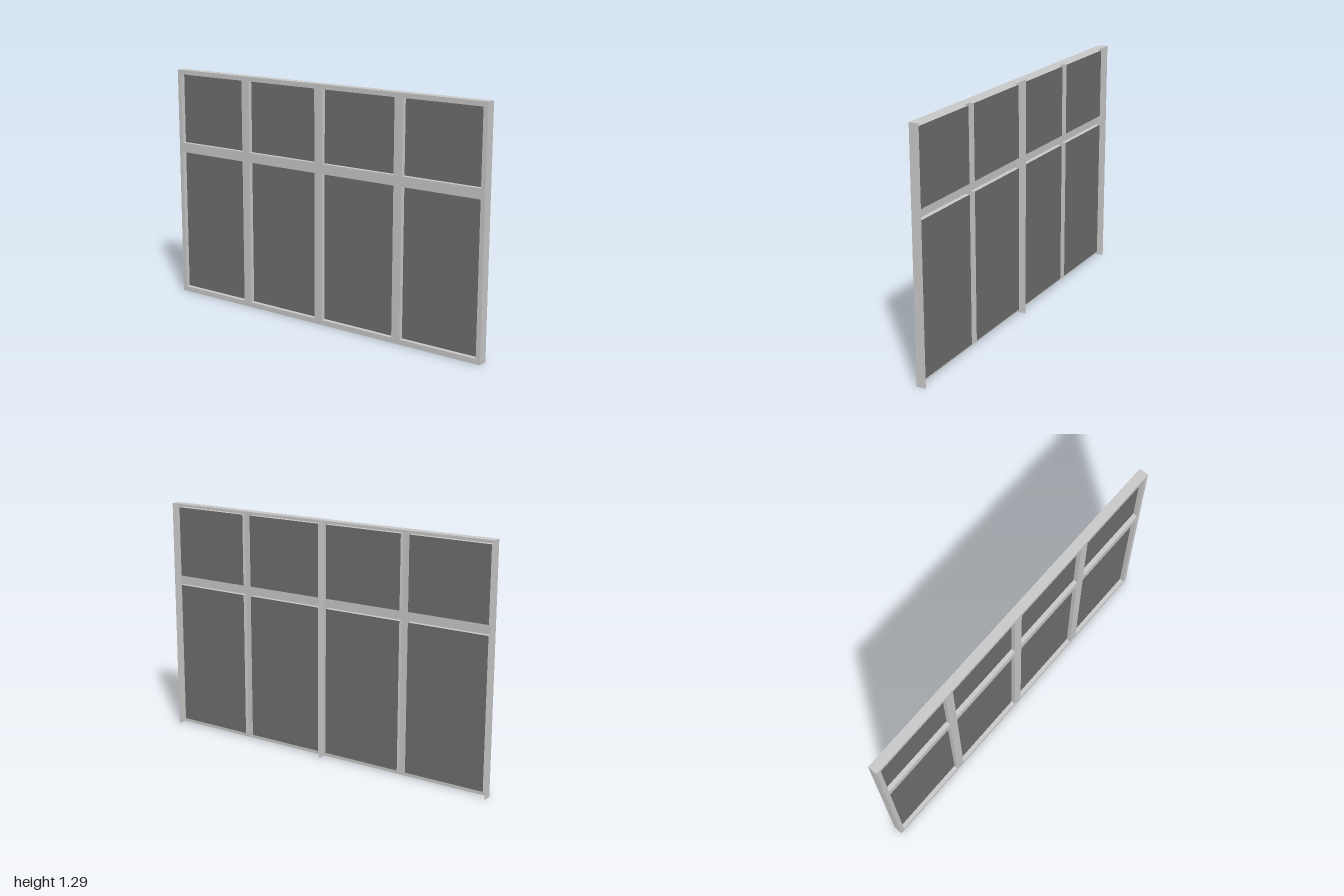
import * as THREE from 'three';

const HEIGHT = 1.293, FRONT = 0.026, DEPTH = 0.052, RECESS = 0.024;
const COLUMNS = [-0.75, -0.25, 0.25, 0.75];
const PANE_WIDTH = 0.45;
const ROWS = [[0.028, 0.825], [0.879, 1.268]];

const frameMaterial = new THREE.MeshStandardMaterial({ color: 0xcccccc, side: THREE.DoubleSide });
const paneMaterial = new THREE.MeshStandardMaterial({ color: 0x707070, side: THREE.DoubleSide });

function addMesh(parent, name, geometry, material, x = 0, y = 0, z = 0) {
  const mesh = new THREE.Mesh(geometry, material);
  mesh.name = name;
  mesh.position.set(x, y, z);
  parent.add(mesh);
  return mesh;
}

// Sheet standing across x, from front to back
const sideSheet = (depth, height, outward) =>
  new THREE.PlaneGeometry(depth, height).rotateY(outward * Math.PI / 2);
// Sheet lying flat
const flatSheet = (width, depth, upward) =>
  new THREE.PlaneGeometry(width, depth).rotateX(-upward * Math.PI / 2);

// Recessed pane with the four reveals around it
function createPane(width, height) {
  const pane = new THREE.Group();
  pane.name = 'windowPane';
  addMesh(pane, 'glass', new THREE.PlaneGeometry(width, height), paneMaterial, 0, 0, -RECESS);
  for (const s of [-1, 1]) {
    addMesh(pane, 'sideReveal', sideSheet(RECESS, height, -s), frameMaterial, s * width / 2, 0, -RECESS / 2);
    addMesh(pane, s < 0 ? 'sill' : 'head', flatSheet(width, RECESS, -s), frameMaterial, 0, s * height / 2, -RECESS / 2);
  }
  return pane;
}

export function createModel() {
  const model = new THREE.Group();
  model.name = 'windowPanel';

  // Front face of the frame, with an opening for every pane
  const face = new THREE.Shape([[-1, 0], [1, 0], [1, HEIGHT], [-1, HEIGHT]].map(p => new THREE.Vector2(...p)));
  for (const x of COLUMNS) {
    for (const [y0, y1] of ROWS) {
      const x0 = x - PANE_WIDTH / 2, x1 = x + PANE_WIDTH / 2;
      face.holes.push(new THREE.Path([[x0, y0], [x0, y1], [x1, y1], [x1, y0]].map(p => new THREE.Vector2(...p))));
      const pane = createPane(PANE_WIDTH, y1 - y0);
      pane.position.set(x, (y0 + y1) / 2, FRONT);
      model.add(pane);
    }
  }
  addMesh(model, 'frameFace', new THREE.ShapeGeometry(face), frameMaterial, 0, 0, FRONT);

  // Outer sides, central rib and top; the back and bottom stay open
  addMesh(model, 'rightSide', sideSheet(DEPTH, HEIGHT, -1), frameMaterial, -1, HEIGHT / 2);
  addMesh(model, 'centreRib', sideSheet(DEPTH, HEIGHT, 1), frameMaterial, 0, HEIGHT / 2);
  addMesh(model, 'leftSide', sideSheet(DEPTH, HEIGHT, 1), frameMaterial, 1, HEIGHT / 2);
  addMesh(model, 'top', flatSheet(2, DEPTH, 1), frameMaterial, 0, HEIGHT);

  return model;
}
